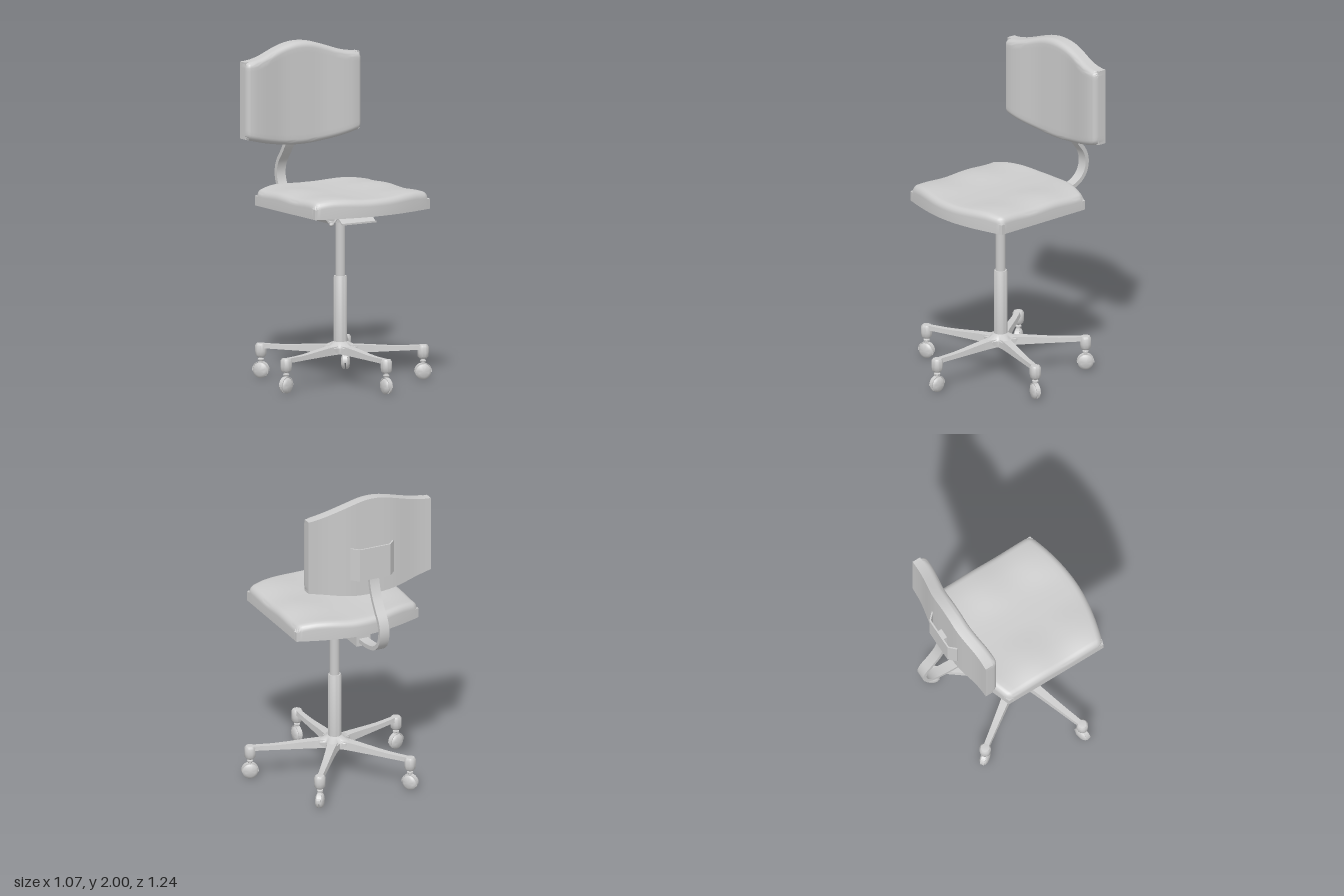
import * as THREE from 'three';
import { toCreasedNormals, mergeVertices } from 'three/addons/utils/BufferGeometryUtils.js';

const mat = new THREE.MeshStandardMaterial({ color: 0xcccccc, side: THREE.DoubleSide });
const smooth = THREE.MathUtils.smoothstep;
const lerp = THREE.MathUtils.lerp;

function add(parent, name, geometry, x = 0, y = 0, z = 0) {
  const mesh = new THREE.Mesh(geometry, mat);
  mesh.name = name;
  mesh.position.set(x, y, z);
  parent.add(mesh);
  return mesh;
}

// Padded slab: outline lo(x)..hi(x), front surface front(x, y), back surface back(x),
// with the front rim rounded by radius r.
function cushion(halfWidth, lo, hi, front, back, r) {
  const steps = 6, inner = 20;
  const samples = []; // each: a fraction along the span, an inset from its end, and the rim distance
  for (let i = 0; i < steps; i++) {
    const a = (i / steps) * Math.PI / 2;
    samples.push({ t: 0, inset: r * (1 - Math.cos(a)), rim: r * Math.cos(a) });
  }
  for (let i = 0; i <= inner; i++) samples.push({ t: i / inner, inset: r * (1 - 2 * i / inner), rim: 0 });
  for (let i = steps - 1; i >= 0; i--) samples.push({ t: 1, inset: -samples[i].inset, rim: samples[i].rim });
  const n = samples.length, pos = [], idx = [];
  for (const side of [0, 1]) {
    for (const v of samples) for (const u of samples) {
      const x = lerp(-halfWidth, halfWidth, u.t) + u.inset;
      const y = lerp(lo(x), hi(x), v.t) + v.inset;
      const drop = r - Math.sqrt(Math.max(0, r * r - u.rim ** 2 - v.rim ** 2));
      pos.push(x, y, side ? back(x) : front(x, y) - drop);
    }
  }
  const quad = (a, b, c, d) => idx.push(a, b, c, a, c, d);
  const N = n * n;
  for (let j = 0; j < n - 1; j++) {
    for (let i = 0; i < n - 1; i++) {
      const a = j * n + i;
      quad(a, a + 1, a + n + 1, a + n);
      quad(N + a, N + a + n, N + a + n + 1, N + a + 1);
    }
    const top = (n - 1) * n + j, left = j * n, right = left + n - 1;
    quad(N + j, N + j + 1, j + 1, j);
    quad(top, top + 1, N + top + 1, N + top);
    quad(N + left, left, left + n, N + left + n);
    quad(right, N + right, N + right + n, right + n);
  }
  const g = new THREE.BufferGeometry();
  g.setAttribute('position', new THREE.Float32BufferAttribute(pos, 3));
  g.setIndex(idx);
  return toCreasedNormals(g, 0.75);
}

// Strip of constant thickness following 2D points, extruded symmetrically to the given width.
function ribbon(points, thickness, width) {
  const edge = (s) => points.map((p, i) => {
    const a = points[Math.max(0, i - 1)], b = points[Math.min(points.length - 1, i + 1)];
    const d = new THREE.Vector2().subVectors(b, a).normalize();
    return new THREE.Vector2(p.x - d.y * s * thickness / 2, p.y + d.x * s * thickness / 2);
  });
  const shape = new THREE.Shape([...edge(-1), ...edge(1).reverse()]);
  return new THREE.ExtrudeGeometry(shape, { depth: width, bevelEnabled: false }).translate(0, 0, -width / 2);
}
const pts = (list) => list.map(([x, y]) => new THREE.Vector2(x, y));
const lathe = (list, segments = 24) => toCreasedNormals(new THREE.LatheGeometry(pts(list), segments), 0.7);

// Twin-wheel caster hanging below an arm tip; rolls along z
function makeCaster() {
  const caster = new THREE.Group();
  caster.name = 'caster';
  add(caster, 'casterSocket', lathe([[0, 0.13], [0.022, 0.13], [0.032, 0.142], [0.034, 0.165], [0.034, 0.2],
    [0.026, 0.212], [0, 0.216]]));
  add(caster, 'casterStem', lathe([[0.012, 0.09], [0.012, 0.108], [0.019, 0.112], [0.019, 0.119], [0.011, 0.123], [0.011, 0.135]], 16));
  for (const s of [-1, 1]) {
    const wheel = add(caster, 'casterWheel', lathe([[0, 0], [0.045, 0], [0.047, 0.005], [0.043, 0.012],
      [0.03, 0.019], [0, 0.023]]), s * 0.005, 0.05, 0);
    wheel.rotation.z = -s * Math.PI / 2;
  }
  const arc = [];
  for (let i = 0; i <= 16; i++) {
    const a = lerp(-0.1, Math.PI + 0.1, i / 16);
    arc.push(new THREE.Vector2(0.049 * Math.cos(a), 0.049 * Math.sin(a)));
  }
  add(caster, 'casterHood', ribbon(arc, 0.005, 0.026).rotateY(Math.PI / 2), 0, 0.052, 0);
  add(caster, 'casterFork', new THREE.BoxGeometry(0.01, 0.05, 0.03), 0, 0.075, 0);
  return caster;
}

// Tapered arm running out along +z
function makeArm() {
  const g = new THREE.BoxGeometry(1, 1, 1, 1, 1, 12);
  const p = g.attributes.position;
  for (let i = 0; i < p.count; i++) {
    const t = p.getZ(i) + 0.5, up = p.getY(i) > 0;
    const half = lerp(0.042, 0.019, Math.sqrt(t)) * (up ? 0.8 : 1);
    const y = up ? lerp(0.232, 0.212, smooth(t, 0, 0.8)) : 0.185;
    p.setXYZ(i, Math.sign(p.getX(i)) * half, y, lerp(0.05, 0.5, t));
  }
  return toCreasedNormals(g, 0.5);
}

export function createModel() {
  const chair = new THREE.Group();
  chair.name = 'swivelChair';

  // Five-armed base on casters
  const base = new THREE.Group();
  base.name = 'base';
  base.position.z = 0.065;
  chair.add(base);
  const hub = new THREE.LatheGeometry(pts([[0, 0.185], [0.1, 0.185], [0.1, 0.222], [0.075, 0.234], [0.05, 0.25], [0.038, 0.256]]), 60);
  const hp = hub.attributes.position;
  for (let i = 0; i < hp.count; i++) {
    const x = hp.getX(i), z = hp.getZ(i), r = Math.hypot(x, z);
    const k = 1 + 0.28 * smooth(r, 0.04, 0.1) * Math.cos(5 * Math.atan2(x, z));
    hp.setX(i, x * k);
    hp.setZ(i, z * k);
  }
  add(base, 'hub', toCreasedNormals(mergeVertices(hub), 0.7));
  for (let i = 0; i < 5; i++) {
    const arm = new THREE.Group();
    arm.name = 'baseArm';
    arm.rotation.y = i * Math.PI * 2 / 5;
    add(arm, 'arm', makeArm());
    const caster = makeCaster();
    caster.position.z = 0.508;
    arm.add(caster);
    base.add(arm);
  }

  // Gas-lift column
  add(base, 'columnSleeve', lathe([[0.04, 0.22], [0.04, 0.642], [0.037, 0.65], [0.028, 0.65]], 32));
  add(base, 'columnPiston', new THREE.CylinderGeometry(0.029, 0.029, 0.4, 32), 0, 0.82, 0);

  // Mechanism under the seat, with side wings and end flaps
  add(chair, 'mechanismBox', new THREE.BoxGeometry(0.24, 0.075, 0.235), 0, 1.0275, 0.0625);
  for (const s of [-1, 1]) {
    add(chair, 'sideWing', ribbon(pts([[s * 0.12, 0.994], [s * 0.15, 0.994], [s * 0.22, 1.064]]), 0.01, 0.235), 0, 0, 0.0625);
    add(chair, 'endFlap', ribbon(pts([[s * 0.11, 1.062], [s * 0.2, 0.994], [s * 0.218, 0.994]]), 0.01, 0.235)
      .rotateY(Math.PI / 2), 0, 0, 0.0625);
  }
  add(chair, 'barHolder', new THREE.BoxGeometry(0.09, 0.07, 0.17), 0, 1.028, -0.24);

  // Height lever with a flattened grip
  const lever = new THREE.CatmullRomCurve3([[-0.1, 1.012, 0.18], [-0.17, 1.008, 0.26], [-0.21, 1.01, 0.305]]
    .map((p) => new THREE.Vector3(...p)));
  add(chair, 'leverRod', new THREE.TubeGeometry(lever, 12, 0.006, 8));
  const grip = add(chair, 'leverGrip', new THREE.SphereGeometry(1, 20, 12).scale(0.014, 0.011, 0.038), -0.228, 1.012, 0.326);
  grip.rotation.y = -0.7;

  // Seat cushion
  const bow = (x) => Math.cos(Math.PI / 2 * x / 0.405);
  const seatTop = (x, y) => 1.165 + 0.015 * smooth(Math.abs(x), 0.04, 0.25) * (0.75 + 0.25 * Math.cos(y * 18))
    - 0.012 * smooth(Math.abs(x), 0.28, 0.4);
  add(chair, 'seat', cushion(0.405, (x) => -0.42 - 0.075 * bow(x), (x) => 0.245 + 0.095 * bow(x),
    seatTop, () => 1.065, 0.04).rotateX(-Math.PI / 2));

  // Backrest, wrapped slightly forward at the sides
  const wrap = (x) => 0.032 * smooth(Math.abs(x), 0.1, 0.35);
  add(chair, 'backrest', cushion(0.405, (x) => 1.445 - 0.065 * bow(x),
    (x) => 1.955 + 0.045 * Math.cos(Math.PI * x / 0.405),
    (x) => -0.354 + wrap(x), (x) => -0.441 + wrap(x), 0.035));
  add(chair, 'backBracket', ribbon(pts([[-0.14, 0.438], [-0.1, 0.48], [0.1, 0.48], [0.14, 0.438]]), 0.01, 0.205)
    .rotateX(-Math.PI / 2), 0, 1.5975, 0);

  // Curved flat bar joining seat and backrest
  const bar = new THREE.SplineCurve(pts([[0.25, 1.03], [0.34, 1.03], [0.44, 1.038], [0.525, 1.062], [0.58, 1.11],
    [0.601, 1.18], [0.585, 1.25], [0.535, 1.32], [0.488, 1.4], [0.46, 1.5], [0.457, 1.66]]));
  add(chair, 'backBar', toCreasedNormals(ribbon(bar.getPoints(44), 0.025, 0.062), 0.5).rotateY(Math.PI / 2));

  return chair;
}
